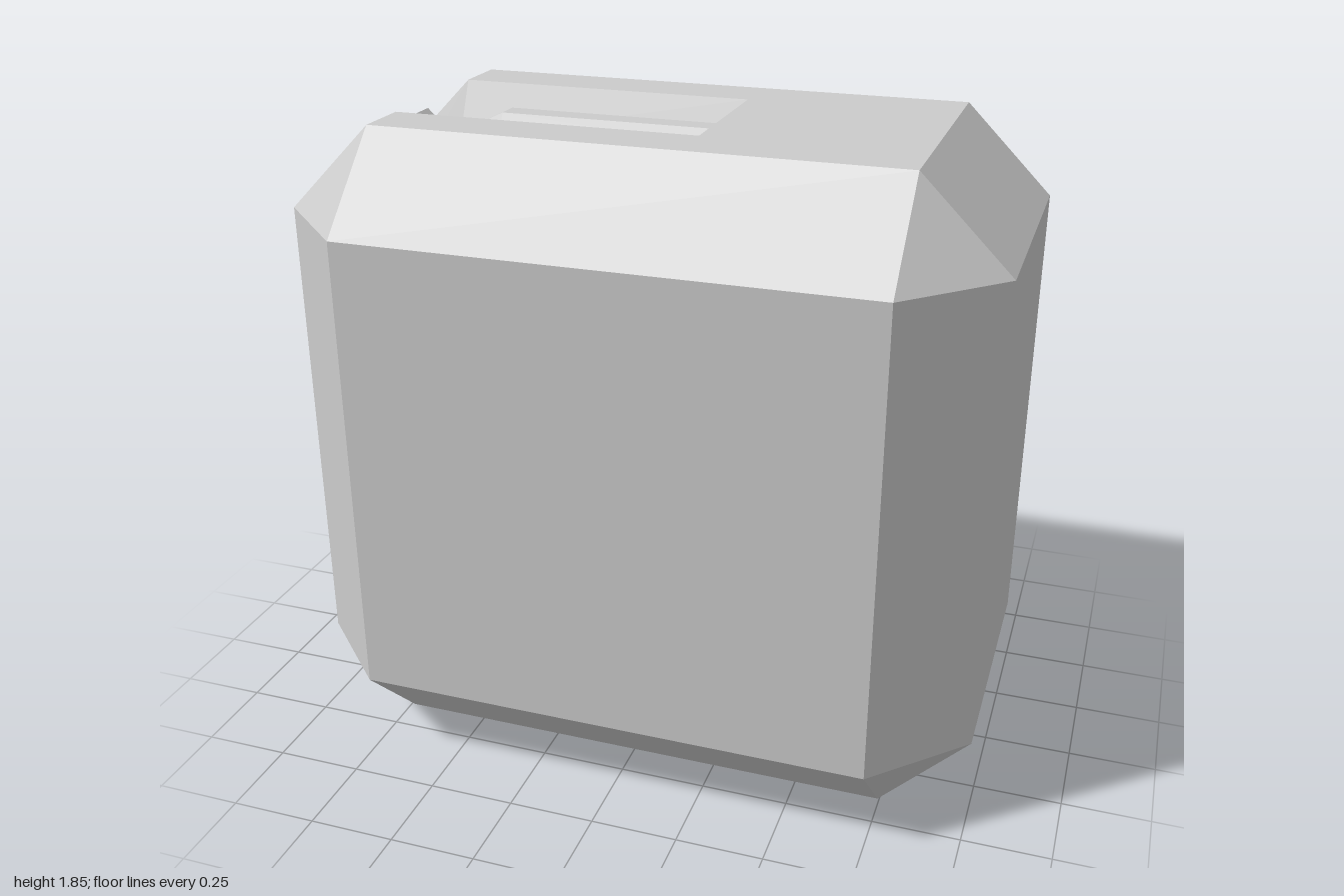
import * as THREE from 'three';

const grey = new THREE.MeshStandardMaterial({ color: 0xcccccc, flatShading: true });

// Fans convex polygons into triangles, each turned to face away from `centre`.
function facesToGeometry(faces, centre) {
  const pos = [];
  const mid = new THREE.Vector3(), n = new THREE.Vector3();
  for (const face of faces) {
    const p = face.map((c) => new THREE.Vector3(...c));
    for (let i = 1; i < p.length - 1; i++) {
      let [a, b, c] = [p[0], p[i], p[i + 1]];
      n.crossVectors(b.clone().sub(a), c.clone().sub(a));
      mid.copy(a).add(b).add(c).divideScalar(3).sub(centre);
      if (n.dot(mid) < 0) [b, c] = [c, b];
      for (const v of [a, b, c]) pos.push(v.x, v.y, v.z);
    }
  }
  const geo = new THREE.BufferGeometry();
  geo.setAttribute('position', new THREE.Float32BufferAttribute(pos, 3));
  geo.computeVertexNormals();
  return geo;
}

// Chamfered can with a tapered channel cut along the top and down one slope
function bodyGeometry() {
  const L = -0.99, l = -0.74, r = 0.745, R = 0.995; // outer and inset x
  const Z = 0.645, z = 0.395;                       // outer and inset z
  const b = 0.25, t = 1.6, top = 1.85;              // heights
  const end = 0.14, rim = 0.23, lip = 0.24, floor = 0.155, depth = 0.16;
  const fT = top - depth, fS = t - depth, endF = 0.1;
  const faces = [];
  const add = (...f) => faces.push(f);

  // Half of the can, later mirrored in z
  add([l, b, Z], [r, b, Z], [r, t, Z], [l, t, Z]);                 // broad side
  add([l, 0, 0], [r, 0, 0], [r, 0, z], [l, 0, z]);                 // underside
  for (const [y, Y] of [[b, 0], [t, top]]) {
    add([l, y, Z], [r, y, Z], [r, Y, z], [l, Y, z]);               // long chamfers
    add([R, y, 0], [R, y, z], [r, Y, z], [r, Y, 0]);               // end chamfers
    for (const [x, X] of [[l, L], [r, R]]) add([x, y, Z], [X, y, z], [x, Y, z]);
  }
  for (const [x, X] of [[l, L], [r, R]]) add([x, b, Z], [X, b, z], [X, t, z], [x, t, Z]);
  add([L, b, 0], [L, b, z], [l, 0, z], [l, 0, 0]);
  add([R, b, 0], [R, b, z], [R, t, z], [R, t, 0]);                 // plain end
  add([L, b, 0], [L, b, z], [L, fS, z], [L, fS, 0]);               // notched end
  add([L, fS, floor], [L, fS, z], [L, t, z], [L, t, lip]);
  add([L, t, lip], [L, t, z], [l, top, z], [l, top, rim]);         // slope beside channel
  add([l, top, rim], [l, top, z], [end, top, z], [end, top, rim]); // top beside channel
  add([end, top, 0], [end, top, z], [r, top, z], [r, top, 0]);
  // Channel floor and walls
  add([L, fS, 0], [L, fS, floor], [l, fT, floor], [l, fT, 0]);
  add([l, fT, 0], [l, fT, floor], [endF, fT, floor], [endF, fT, 0]);
  add([L, fS, floor], [L, t, lip], [l, top, rim], [l, fT, floor]);
  add([l, fT, floor], [l, top, rim], [end, top, rim], [endF, fT, floor]);
  add([endF, fT, 0], [endF, fT, floor], [end, top, rim], [end, top, 0]);

  const mirrored = faces.map((f) => f.map(([x, y, w]) => [x, y, -w]));
  return facesToGeometry([...faces, ...mirrored], new THREE.Vector3(0, 0.9, 0));
}

// Eight-sided grip: sections along a path, bending down to the channel floor
function handleGeometry() {
  const section = [[0.033, 0.055], [0.075, 0.02], [0.075, -0.02], [0.033, -0.055],
    [-0.033, -0.055], [-0.075, -0.02], [-0.075, 0.02], [-0.033, 0.055]];
  // x, y, lean of the section, scale
  const path = [[0.14, 1.77, 0, 1], [-0.49, 1.77, -0.25, 1], [-0.635, 1.7, -0.25, 1], [-0.665, 1.675, -0.25, 0.65]];
  const rings = path.map(([x, y, lean, s]) =>
    section.map(([w, h]) => [x + lean * h * s, y + h * s, 0.01 + w * s]));
  const pos = [], idx = [];
  rings.flat().forEach((p) => pos.push(...p));
  const n = section.length;
  for (let i = 0; i < rings.length - 1; i++) {
    for (let j = 0; j < n; j++) {
      const a = i * n + j, b = i * n + (j + 1) % n;
      idx.push(a, a + n, b, b, a + n, b + n);
    }
  }
  const last = (rings.length - 1) * n;
  for (let j = 1; j < n - 1; j++) {
    idx.push(j + 1, 0, j);
    idx.push(last, last + j + 1, last + j);
  }
  const geo = new THREE.BufferGeometry();
  geo.setAttribute('position', new THREE.Float32BufferAttribute(pos, 3));
  geo.setIndex(idx);
  const flat = geo.toNonIndexed();
  flat.computeVertexNormals();
  return flat;
}

// Octagonal screw cap with a dished top, on a short neck
function capGeometry() {
  const profile = [[0.11, -0.13], [0.11, -0.06], [0.156, -0.06], [0.156, 0],
    [0.115, 0], [0.08, -0.025], [0, -0.025]].map(([x, y]) => new THREE.Vector2(x, y));
  return new THREE.LatheGeometry(profile, 8, Math.PI / 8);
}

export function createModel() {
  const model = new THREE.Group();
  model.name = 'fuelCan';
  const add = (name, geometry, material = grey) => {
    const mesh = new THREE.Mesh(geometry, material);
    mesh.name = name;
    model.add(mesh);
    return mesh;
  };
  add('body', bodyGeometry());
  const grip = grey.clone();
  grip.side = THREE.DoubleSide;
  add('handle', handleGeometry(), grip);
  const cap = add('cap', capGeometry());
  cap.position.set(-0.893, 1.695, 0.003);
  cap.rotation.z = Math.PI / 4;
  return model;
}
